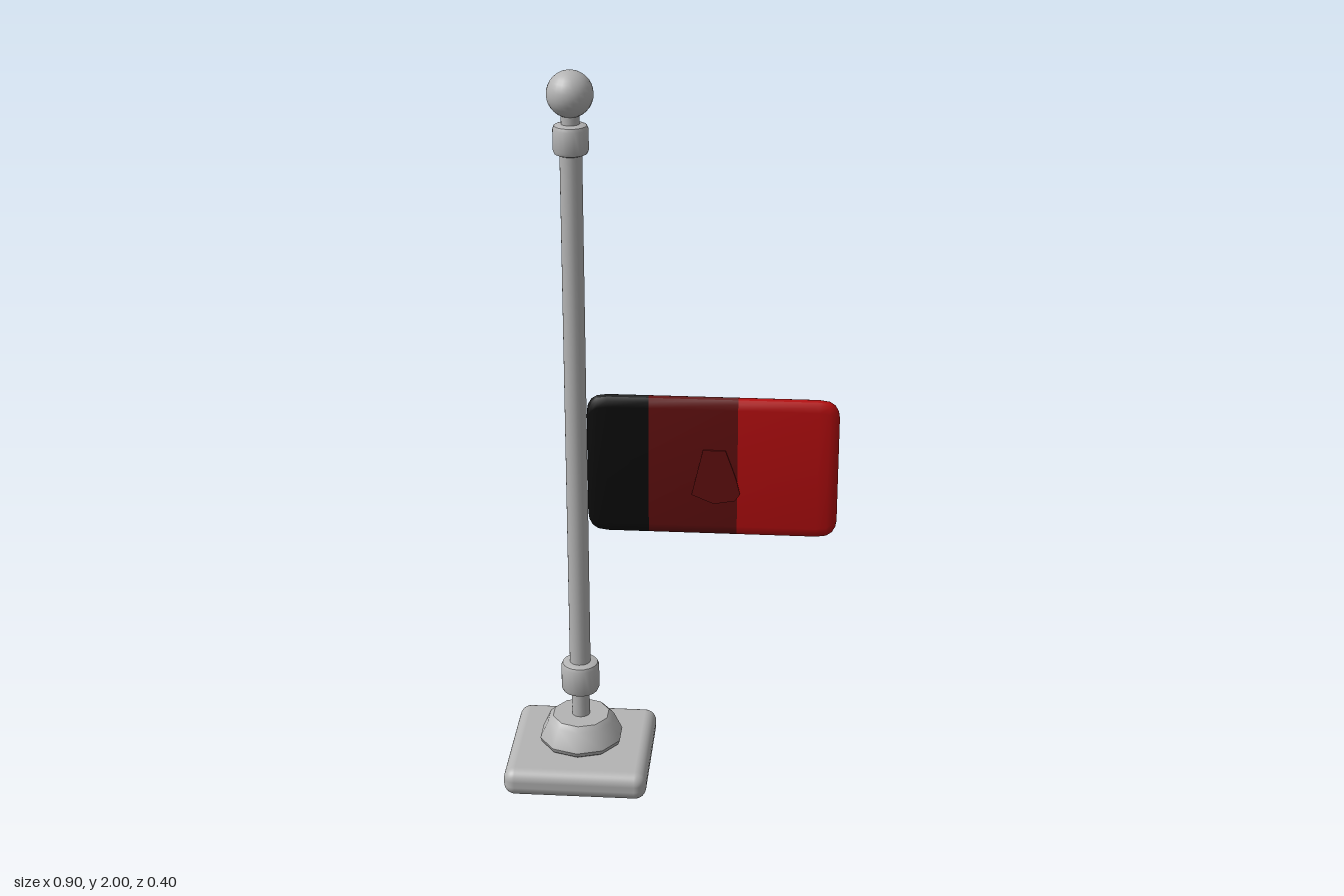
import * as THREE from 'three';
import { toCreasedNormals } from 'three/addons/utils/BufferGeometryUtils.js';
import { RoundedBoxGeometry } from 'three/addons/geometries/RoundedBoxGeometry.js';

const POLE_X = -0.25;

function material(name, color) {
  const m = new THREE.MeshStandardMaterial({ color });
  m.name = name;
  return m;
}

// Pill-shaped section across the flag: half height h, half thickness t
function flagSection(x, h, t) {
  const b = Math.min(0.03, h * 0.2);
  const quarter = [[h, 0], [h - b * 0.12, t * 0.5], [h - b * 0.45, t * 0.87], [h - b, t]];
  const top = [...quarter, ...quarter.slice(1).reverse().map(([y, z]) => [-y, z]), [-h, 0]];
  const back = top.slice(1, -1).reverse().map(([y, z]) => [y, -z]);
  return [...top, ...back].map(([y, z]) => [x, 0.936 + y, z - 0.002]);
}

// Skin over stations [x, h, t], optionally closed at either end
function loft(stations, capStart, capEnd) {
  const rings = stations.map((s) => flagSection(...s));
  const n = rings[0].length, pos = rings.flat(2), index = [];
  for (let i = 0; i < rings.length - 1; i++) {
    for (let j = 0; j < n; j++) {
      const a = i * n + j, b = i * n + (j + 1) % n;
      index.push(a, a + n, b, b, a + n, b + n);
    }
  }
  const last = (rings.length - 1) * n;
  for (let j = 1; j < n - 1; j++) {
    if (capStart) index.push(0, j, j + 1);
    if (capEnd) index.push(last, last + j + 1, last + j);
  }
  const g = new THREE.BufferGeometry();
  g.setAttribute('position', new THREE.Float32BufferAttribute(pos, 3));
  g.setIndex(index);
  return toCreasedNormals(g, 0.8);
}

export function createModel() {
  const group = new THREE.Group();
  const grey = material('light grey', 0xb4b4b4);
  const black = material('black', 0x0b0b0b);
  const darkRed = material('dark red', 0x620f0f);
  const red = material('red', 0xb50d0f);
  for (const m of [black, darkRed, red]) m.side = THREE.DoubleSide;

  const add = (name, geometry, mat, x = 0, y = 0, z = 0) => {
    const mesh = new THREE.Mesh(geometry, mat);
    mesh.name = name;
    mesh.position.set(x, y, z);
    group.add(mesh);
    return mesh;
  };
  const turned = (name, points, sides) => add(name, toCreasedNormals(
    new THREE.LatheGeometry(points.map(([r, y]) => new THREE.Vector2(r, y)), sides), 0.65), grey, POLE_X);

  // Square foot with soft edges
  add('base', new RoundedBoxGeometry(0.396, 0.08, 0.396, 4, 0.032), grey, POLE_X, 0.04, 0);

  // Ten-sided tapered mount
  turned('mount', [[0, 0.075], [0.095, 0.075], [0.114, 0.088], [0.118, 0.1],
    [0.094, 0.152], [0.08, 0.165], [0, 0.165]], 10);

  // Pole, with a thinner neck at both ends
  const rod = (name, r, y0, y1) =>
    add(name, new THREE.CylinderGeometry(r, r, y1 - y0, 20), grey, POLE_X, (y0 + y1) / 2, 0);
  rod('lowerNeck', 0.025, 0.16, 0.26);
  rod('pole', 0.029, 0.3, 1.82);
  rod('upperNeck', 0.024, 1.84, 1.91);

  // Rounded collars
  for (const [name, r, y0, y1] of [['lowerCollar', 0.053, 0.24, 0.332], ['upperCollar', 0.046, 1.784, 1.864]]) {
    turned(name, [[0, y0], [r - 0.014, y0], [r - 0.004, y0 + 0.004], [r, y0 + 0.013],
      [r, y1 - 0.013], [r - 0.004, y1 - 0.004], [r - 0.014, y1], [0, y1]], 20);
  }

  // Ball on top
  add('finial', new THREE.SphereGeometry(0.06, 24, 16), grey, POLE_X, 1.94, 0);

  // Flag in three vertical bands, rounded at its outer corners
  const H = 0.198, T = 0.019;
  add('blackBand', loft([[-0.22, 0.15, 0.007], [-0.217, 0.168, 0.012], [-0.208, 0.184, 0.016],
    [-0.193, 0.194, T], [-0.165, H, T], [-0.055, H, T]], true, false), black);
  add('darkRedBand', loft([[-0.055, H, T], [0.182, H, T]], false, false), darkRed);
  add('redBand', loft([[0.182, H, T], [0.395, H, T], [0.422, 0.194, T], [0.437, 0.184, 0.016],
    [0.446, 0.168, 0.012], [0.449, 0.15, 0.007]], false, true), red);

  // Thin raised patch on the front, crossing the band edge
  const patch = new THREE.Shape([[0.06, 0.86], [0.12, 0.835], [0.176, 0.845], [0.19, 0.865],
    [0.18, 0.905], [0.17, 0.935], [0.15, 0.99], [0.09, 0.99]].map(([x, y]) => new THREE.Vector2(x, y)));
  add('frontPatch', new THREE.ExtrudeGeometry(patch, { depth: 0.004, bevelEnabled: false }), darkRed, 0, 0, 0.0175);

  return group;
}
